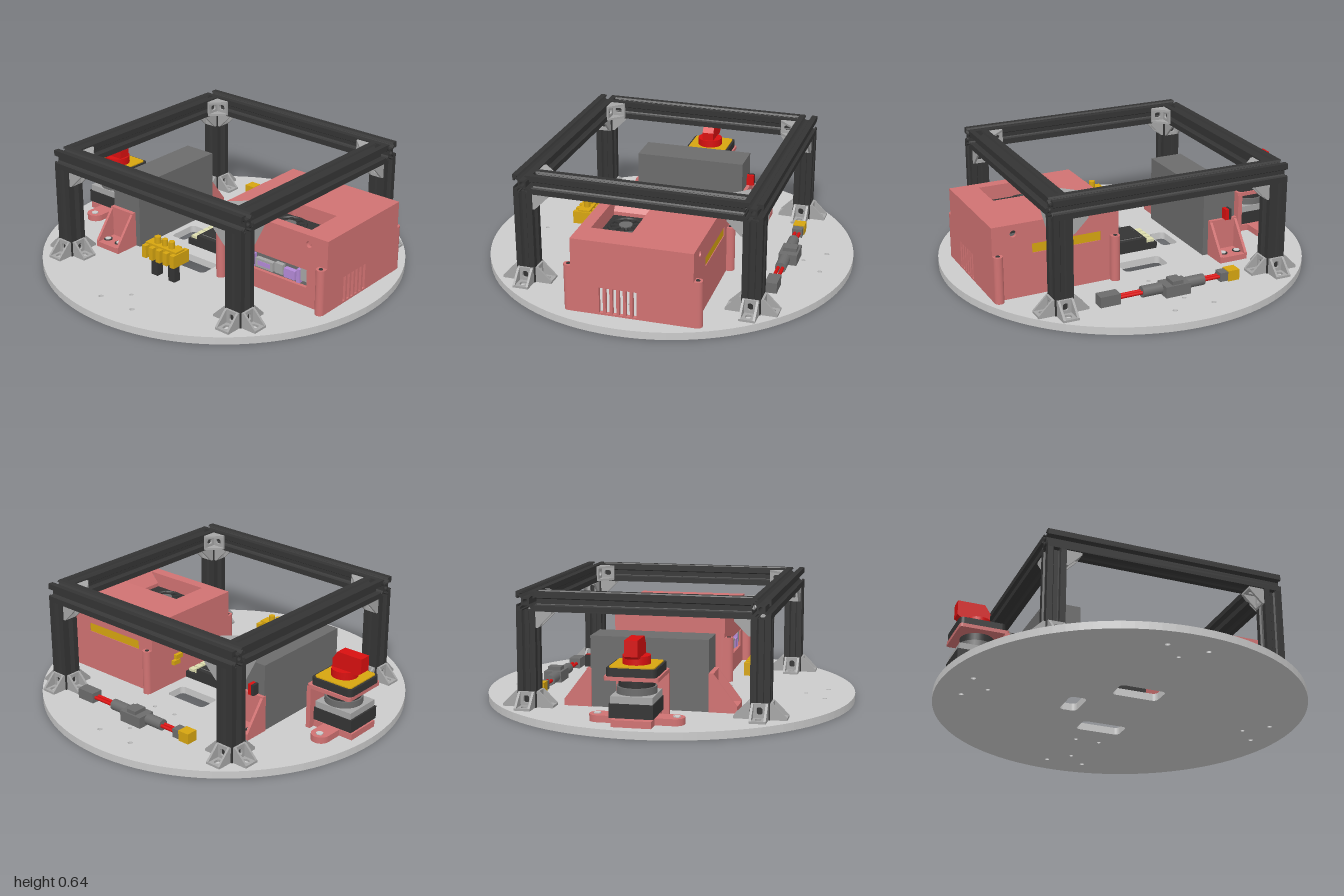
import * as THREE from 'three';
import { mergeGeometries } from 'three/addons/utils/BufferGeometryUtils.js';

const mat = (name, color) => Object.assign(new THREE.MeshStandardMaterial({ color }), { name });
const M = {
  plate: mat('light grey', 0xcbcbcb), black: mat('black', 0x343434), bracket: mat('bracket grey', 0xa6a6a6),
  pink: mat('salmon pink', 0xd07272), grey: mat('dark grey', 0x6c6c6c), red: mat('red', 0xd81010),
  yellow: mat('mustard yellow', 0xd6a510), cream: mat('cream', 0xdcdcae), purple: mat('purple', 0xb48ad8),
};

const add = (parent, name, geo, m, x = 0, y = 0, z = 0) => {
  const mesh = new THREE.Mesh(geo, m);
  mesh.name = name;
  mesh.position.set(x, y, z);
  parent.add(mesh);
  return mesh;
};
const group = (parent, name) => {
  const g = new THREE.Group();
  g.name = name;
  parent.add(g);
  return g;
};
// box given by its limits
const block = (parent, name, m, x0, x1, y0, y1, z0, z1) => add(parent, name,
  new THREE.BoxGeometry(x1 - x0, y1 - y0, z1 - z0), m, (x0 + x1) / 2, (y0 + y1) / 2, (z0 + z1) / 2);
const rod = (parent, name, m, r, y0, y1, x, z, n = 32) =>
  add(parent, name, new THREE.CylinderGeometry(r, r, y1 - y0, n), m, x, (y0 + y1) / 2, z);

const poly = pts => new THREE.Shape(pts.map(p => new THREE.Vector2(p[0], p[1])));
const rect = (x0, x1, y0, y1) => poly([[x0, y0], [x1, y0], [x1, y1], [x0, y1]]);
const disc = (x, y, r) => new THREE.Shape().absarc(x, y, r, 0, Math.PI * 2);
function roundRect(x0, x1, y0, y1, r) {
  const s = new THREE.Shape(), q = Math.PI / 2;
  s.absarc(x1 - r, y0 + r, r, -q, 0);
  s.absarc(x1 - r, y1 - r, r, 0, q);
  s.absarc(x0 + r, y1 - r, r, q, 2 * q);
  s.absarc(x0 + r, y0 + r, r, 2 * q, 3 * q);
  s.closePath();
  return s;
}
const extrude = (shape, depth, holes = [], curveSegments = 12) => {
  shape.holes.push(...holes);
  return new THREE.ExtrudeGeometry(shape, { depth, bevelEnabled: false, curveSegments });
};
// horizontal slab: shape drawn in (x, -z), rising from y = 0
const slab = (shape, h, holes, seg) => extrude(shape, h, holes, seg).rotateX(-Math.PI / 2);

function buildPlate(root) {
  const holes = [roundRect(-0.13, 0.125, 0.205, 0.33, 0.025), roundRect(-0.13, 0.125, -0.325, -0.195, 0.025),
    roundRect(-0.315, -0.22, -0.085, 0.095, 0.025)];
  for (const s of [-1, 1]) {
    holes.push(disc(0, s * 0.74, 0.011), disc(s * 0.74, 0, 0.011), disc(s * 0.07, 0.48, 0.011));
    for (const t of [-1, 1]) holes.push(disc(s * 0.11, t * 0.85, 0.013), disc(t * 0.85, s * 0.11, 0.013));
  }
  add(root, 'basePlate', slab(disc(0, 0, 1), 0.04, holes, 48), M.plate);
}

function buildFrame(root) {
  const g = group(root, 'frame');
  g.position.set(0.01, 0, -0.012);
  g.rotation.y = -0.0135;
  // slotted square bar section
  const side = [[0.05, -0.05], [0.05, -0.02], [0.041, -0.0145], [0.041, -0.028], [0.034, -0.028], [0.021, -0.0145],
    [0.021, 0.0145], [0.034, 0.028], [0.041, 0.028], [0.041, 0.0145], [0.05, 0.02]];
  const pts = [];
  for (const [c, s] of [[1, 0], [0, 1], [-1, 0], [0, -1]]) {
    for (const [x, y] of side) pts.push([c * x - s * y, s * x + c * y]);
  }
  const bar = len => extrude(poly(pts), len, [disc(0, 0, 0.0125)]).translate(0, 0, -len / 2);

  // gusseted corner bracket with its corner at the origin, legs along +x and +y
  const s = 0.085, t = 0.012;
  const leg = extrude(rect(0, s, -s / 2, s / 2), t, [roundRect(0.028, 0.066, -0.015, 0.015, 0.012)], 4);
  const web = extrude(poly([[0, 0], [s, 0], [s, t], [t, s], [0, s]]), t);
  const foot = mergeGeometries([
    leg.clone().rotateX(-Math.PI / 2),
    leg.clone().rotateZ(Math.PI / 2).rotateY(Math.PI / 2),
    web.clone().translate(0, 0, -s / 2), web.clone().translate(0, 0, s / 2 - t)]);
  const upper = foot.clone().rotateX(Math.PI), flat = foot.clone().rotateX(Math.PI / 2);

  const h = 0.602, len = 2 * h + 0.1;
  for (const k of [-1, 1]) {
    add(g, 'crossBeam', bar(len).rotateY(Math.PI / 2), M.black, 0, 0.59, k * h);
    add(g, 'sideBeam', bar(len - 0.2), M.black, k * h, 0.59, 0);
    for (const j of [-1, 1]) {
      add(g, 'post', bar(0.5).rotateX(Math.PI / 2), M.black, k * h, 0.29, j * h);
      for (const [dx, dz] of [[1, 0], [-1, 0], [0, 1], [0, -1]]) {
        const x = k * h + dx * 0.05, z = j * h + dz * 0.05, a = Math.atan2(-dz, dx);
        add(g, 'footBracket', foot, M.bracket, x, 0.04, z).rotation.y = a;
        if (dx === -k || dz === -j) add(g, 'upperBracket', upper, M.bracket, x, 0.54, z).rotation.y = a;
      }
      const turn = k < 0 ? (j < 0 ? 0 : Math.PI / 2) : (j < 0 ? -Math.PI / 2 : Math.PI);
      add(g, 'beamBracket', flat, M.bracket, k * (h - 0.05), 0.59, j * (h - 0.05)).rotation.y = turn;
    }
  }
}

function buildHousing(root) {
  const g = group(root, 'housing');
  const x0 = 0.19, x1 = 0.885, z0 = -0.37, z1 = 0.26, y0 = 0.04, y1 = 0.44, t = 0.02;
  const peep = () => disc(0.77, 0.39, 0.018);
  add(g, 'frontWall', extrude(rect(x0, x1, y0, y1), t, [peep(), disc(0.295, 0.12, 0.026),
    rect(0.31, 0.76, 0.145, 0.245)]), M.pink, 0, 0, z1 - t);
  add(g, 'backWall', extrude(rect(x0, x1, y0, y1), t, [peep(), rect(0.29, 0.67, 0.27, 0.32)]), M.pink, 0, 0, z0);
  block(g, 'leftInnerWall', M.pink, x0, x0 + t, y0, y1, z0 + t, z1 - t);
  const vents = [];
  for (let i = 0; i < 6; i++) vents.push(rect(-0.115 + i * 0.035, -0.095 + i * 0.035, 0.05, 0.19));
  add(g, 'ventWall', extrude(rect(-z1 + t, -z0 - t, y0, y1), t, vents).rotateY(Math.PI / 2), M.pink, x1 - t, 0, 0);
  add(g, 'lid', slab(rect(x0 + t, x1 - t, -z1 + t, -z0 - t), t, [rect(0.34, 0.74, -0.2, 0.015)]), M.pink, 0, y1 - t, 0);
  // lugs at the corners
  for (const x of [0.215, 0.86]) for (const z of [-0.385, 0.28]) {
    rod(g, 'lug', M.pink, 0.025, y0, 0.29, x, z, 20);
    rod(g, 'lugHole', M.black, 0.011, 0.285, 0.292, x, z, 16);
    block(g, 'lugWeb', M.pink, x - 0.025, x + 0.025, y0, 0.29, Math.min(z, z * 0.9), Math.max(z, z * 0.9));
  }
  // sunken fan below the lid opening
  for (const [a, b] of [[0.34, 0.395], [0.74, 0.685]]) {
    const shape = a < b ? [[a, 0.44], [a, 0.34], [b, 0.34], [b, 0.38]] : [[a, 0.44], [b, 0.38], [b, 0.34], [a, 0.34]];
    add(g, 'openingSlope', extrude(poly(shape), 0.215), M.pink, 0, 0, -0.015);
  }
  block(g, 'fanBody', M.black, 0.39, 0.69, 0.24, 0.36, -0.015, 0.2);
  const ring = add(g, 'fanRing', new THREE.TorusGeometry(0.085, 0.01, 8, 32).rotateX(Math.PI / 2), M.black, 0.52, 0.365, 0.092);
  for (let i = 0; i < 9; i++) {
    const blade = add(ring, 'fanBlade', new THREE.BoxGeometry(0.05, 0.012, 0.02).translate(0.06, 0, 0), M.black);
    blade.rotation.y = i * Math.PI * 2 / 9;
  }
  rod(g, 'fanHub', M.grey, 0.035, 0.355, 0.375, 0.52, 0.092);
  // connectors behind the front window
  block(g, 'portBoard', M.grey, 0.3, 0.77, 0.13, 0.23, 0.19, 0.225);
  for (const [x, w, y, h, m] of [[0.33, 0.05, 0.2, 0.035, M.bracket], [0.385, 0.03, 0.15, 0.07, M.purple],
    [0.425, 0.11, 0.155, 0.05, M.bracket], [0.44, 0.08, 0.168, 0.025, M.purple], [0.55, 0.05, 0.16, 0.055, M.bracket],
    [0.61, 0.07, 0.155, 0.05, M.purple], [0.62, 0.05, 0.165, 0.03, M.bracket], [0.69, 0.02, 0.15, 0.075, M.purple],
    [0.715, 0.04, 0.17, 0.07, M.bracket]]) {
    block(g, 'port', m, x, x + w, y, y + h, 0.22, m === M.purple ? 0.252 : 0.25);
  }
  block(g, 'rearConnectorStrip', M.yellow, 0.29, 0.67, 0.27, 0.32, z0 + 0.004, z0 + 0.03);
  for (const k of [0, 1]) block(g, 'powerSocket', M.yellow, x0 - 0.02, x0, 0.155 + k * 0.03, 0.18 + k * 0.03, -0.22 + k * 0.02, -0.17 + k * 0.02);
}

function buildPowerBox(root) {
  const g = group(root, 'powerSupply');
  block(g, 'powerBox', M.grey, -0.54, -0.35, 0.04, 0.41, -0.31, 0.305);
  // end brackets, each an L with two gussets
  for (const k of [-1, 1]) {
    const b = group(g, 'boxBracket');
    b.position.set(0, 0.04, k * 0.305);
    const lo = (a, c) => [Math.min(k * a, k * c), Math.max(k * a, k * c)];
    const [f0, f1] = lo(0, 0.145);
    add(b, 'bracketFoot', slab(rect(-0.545, -0.38, -f1, -f0), 0.03), M.pink);
    block(b, 'bracketWall', M.pink, -0.545, -0.38, 0, 0.2, ...lo(0, 0.025));
    for (const x of [-0.545, -0.395]) {
      const tri = k > 0 ? [[-0.145, 0.01], [0, 0.01], [0, 0.2], [-0.02, 0.2], [-0.145, 0.035]]
        : [[0, 0.01], [0.145, 0.01], [0.145, 0.035], [0.02, 0.2], [0, 0.2]];
      add(b, 'bracketGusset', extrude(poly(tri), 0.015).rotateY(Math.PI / 2), M.pink, x, 0, 0);
    }
    for (const x of [-0.515, -0.43]) {
      rod(b, 'boltRing', M.black, 0.025, 0.03, 0.033, x, k * 0.085, 20);
      rod(b, 'bolt', M.plate, 0.018, 0.03, 0.037, x, k * 0.085, 6);
    }
  }
  block(g, 'redLead', M.red, -0.485, -0.465, 0.24, 0.3, -0.35, -0.31);
  block(g, 'blackLead', M.black, -0.5, -0.485, 0.24, 0.3, -0.35, -0.31);
}

function buildSwitch(root) {
  const g = group(root, 'rotarySwitch'), cx = -0.812;
  add(g, 'switchFoot', slab(roundRect(cx - 0.05, cx + 0.05, -0.24, 0.24, 0.049), 0.035), M.pink, 0, 0.04, 0);
  block(g, 'switchBase', M.pink, -0.94, -0.68, 0.04, 0.075, -0.1, 0.1);
  block(g, 'switchWall', M.pink, -0.7, -0.675, 0.04, 0.275, -0.135, 0.135);
  add(g, 'switchTopPlate', slab(roundRect(-0.94, -0.675, -0.135, 0.135, 0.015), 0.02), M.pink, 0, 0.268, 0);
  for (const z of [-0.2, 0.2]) rod(g, 'footBolt', M.plate, 0.02, 0.075, 0.08, cx, z, 6);
  block(g, 'contactBlock', M.black, -0.94, -0.705, 0.085, 0.155, -0.11, 0.11);
  block(g, 'contactCover', M.bracket, -0.93, -0.71, 0.155, 0.19, -0.105, 0.105);
  rod(g, 'switchBody', M.grey, 0.1, 0.19, 0.225, cx, 0);
  rod(g, 'switchNeck', M.black, 0.09, 0.225, 0.268, cx, 0);
  add(g, 'bezel', slab(roundRect(-0.94, -0.69, -0.125, 0.125, 0.025), 0.04), M.black, 0, 0.288, 0);
  add(g, 'yellowFace', slab(roundRect(-0.928, -0.702, -0.113, 0.113, 0.02), 0.006), M.yellow, 0, 0.328, 0);
  rod(g, 'knobBase', M.red, 0.07, 0.334, 0.375, cx, 0);
  add(g, 'knobHandle', extrude(poly([[-0.91, 0.37], [-0.755, 0.37], [-0.755, 0.42], [-0.785, 0.465], [-0.932, 0.465],
    [-0.932, 0.385]]), 0.066), M.red, 0, 0, -0.033);
}

function buildController(root) {
  const g = group(root, 'controller');
  block(g, 'controllerBoard', M.black, -0.175, 0.19, 0.04, 0.075, -0.105, 0.1);
  block(g, 'controllerCase', M.black, -0.11, 0.11, 0.075, 0.108, -0.105, 0.1);
  block(g, 'controllerLid', M.grey, -0.095, 0.1, 0.108, 0.11, -0.08, 0.075);
  block(g, 'controllerLidInset', M.black, -0.09, 0.095, 0.108, 0.114, -0.075, 0.07);
  for (let i = 0; i < 4; i++) {
    const z = -0.09 + i * 0.046;
    block(g, 'leftTerminal', M.cream, -0.165, -0.115, 0.075, 0.09, z, z + 0.036);
    block(g, 'rightTerminal', M.cream, 0.145, 0.18, 0.075, 0.09, z, z + 0.036);
    block(g, 'innerTerminal', M.cream, 0.112, 0.135, 0.075, 0.09, z, z + 0.036);
  }
}

function buildTerminal(root) {
  const g = group(root, 'busBar');
  block(g, 'busBody', M.yellow, -0.11, 0.105, 0.15, 0.225, 0.445, 0.51);
  for (let i = 0; i < 5; i++) {
    const x = -0.1 + i * 0.049;
    block(g, 'busTooth', M.yellow, x - 0.012, x + 0.016, 0.145, 0.215, 0.418, 0.538);
    if (i % 2) rod(g, 'busStud', M.yellow, 0.018, 0.225, 0.262, x, 0.478, 12);
  }
  rod(g, 'busStud', M.yellow, 0.016, 0.225, 0.262, 0, 0.478, 12);
  for (const x of [-0.06, 0.06]) block(g, 'busLeg', M.black, x - 0.022, x + 0.022, 0.04, 0.15, 0.458, 0.5);
}

function buildCable(root) {
  const g = group(root, 'fusedCable'), z = -0.655, y = 0.078;
  const lying = (name, m, r, a, b, dz = 0) => add(g, name,
    new THREE.CylinderGeometry(r, r, b - a, 16).rotateZ(Math.PI / 2), m, (a + b) / 2, y, z + dz);
  block(g, 'yellowPlug', M.yellow, -0.355, -0.29, 0.05, 0.107, z - 0.032, z + 0.032);
  block(g, 'plugSleeve', M.grey, -0.29, -0.245, 0.054, 0.102, z - 0.028, z + 0.028);
  for (const d of [-0.012, 0.012]) {
    lying('redWire', M.red, 0.009, -0.25, -0.14, d);
    lying('redWire', M.red, 0.009, 0.2, 0.34, d);
  }
  lying('fuseCap', M.grey, 0.03, -0.155, -0.05);
  block(g, 'fuseHolder', M.grey, -0.05, 0.09, 0.045, 0.105, -0.72, z + 0.035);
  block(g, 'fuseTab', M.grey, -0.01, 0.05, 0.105, 0.125, -0.71, z + 0.02);
  lying('fuseCap', M.grey, 0.03, 0.09, 0.2);
  block(g, 'endPlug', M.grey, 0.33, 0.44, 0.05, 0.107, z - 0.032, z + 0.032);
}

export function createModel() {
  const root = new THREE.Group();
  root.name = 'robotBase';
  for (const build of [buildPlate, buildFrame, buildHousing, buildPowerBox, buildSwitch, buildController,
    buildTerminal, buildCable]) build(root);
  return root;
}
